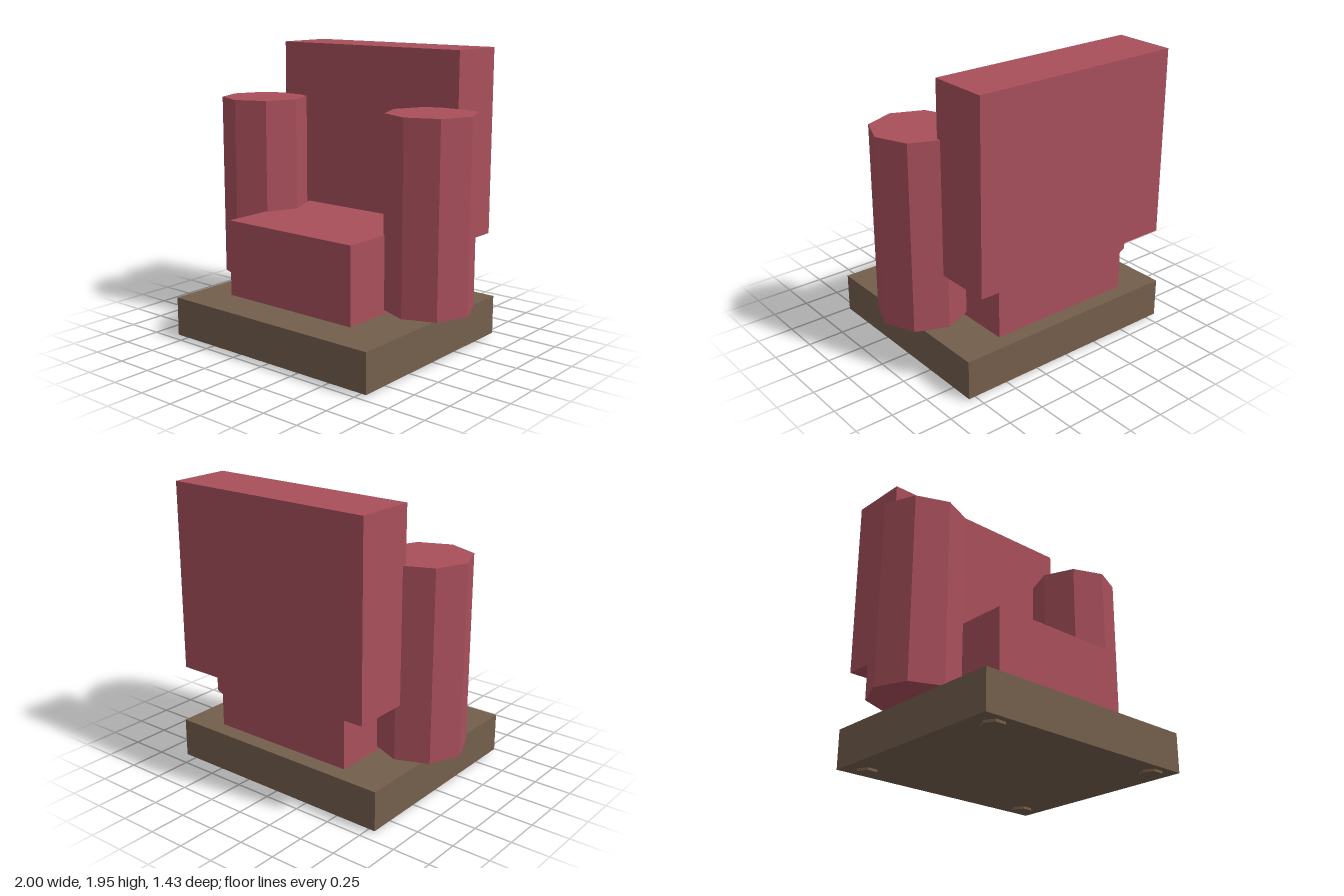
import * as THREE from 'three';

const fabric = new THREE.MeshStandardMaterial({ color: 0xa84f5b, flatShading: true });
const wood = new THREE.MeshStandardMaterial({ color: 0x745e4c, flatShading: true });

export function createModel() {
  const group = new THREE.Group();

  const add = (name, geometry, material, x, y, z) => {
    const mesh = new THREE.Mesh(geometry, material);
    mesh.name = name;
    mesh.position.set(x, y, z);
    group.add(mesh);
    return mesh;
  };

  // Box centred on x, given by its width and its y and z ranges
  const block = (name, material, width, y0, y1, z0, z1) =>
    add(name, new THREE.BoxGeometry(width, y1 - y0, z1 - z0), material, 0, (y0 + y1) / 2, (z0 + z1) / 2);

  block('base', wood, 1.62, 0.017, 0.28, -0.68, 0.715);
  block('seat', fabric, 1.03, 0.305, 0.82, -0.605, 0.495);
  block('backrest', fabric, 1.47, 0.7, 1.95, -0.717, -0.307);

  // Octagonal armrests and hexagonal feet, mirrored left and right
  const armGeometry = new THREE.CylinderGeometry(0.293, 0.293, 1.25, 8);
  const footGeometry = new THREE.CylinderGeometry(0.073, 0.073, 0.03, 6).rotateY(Math.PI / 2);
  for (const [side, s] of [['left', 1], ['right', -1]]) {
    add(side + 'Armrest', armGeometry, fabric, s * 0.707, 0.957, -0.055);
    add(side + 'FrontFoot', footGeometry, wood, s * 0.66, 0.015, 0.607);
    add(side + 'BackFoot', footGeometry, wood, s * 0.66, 0.015, -0.569);
  }

  return group;
}
